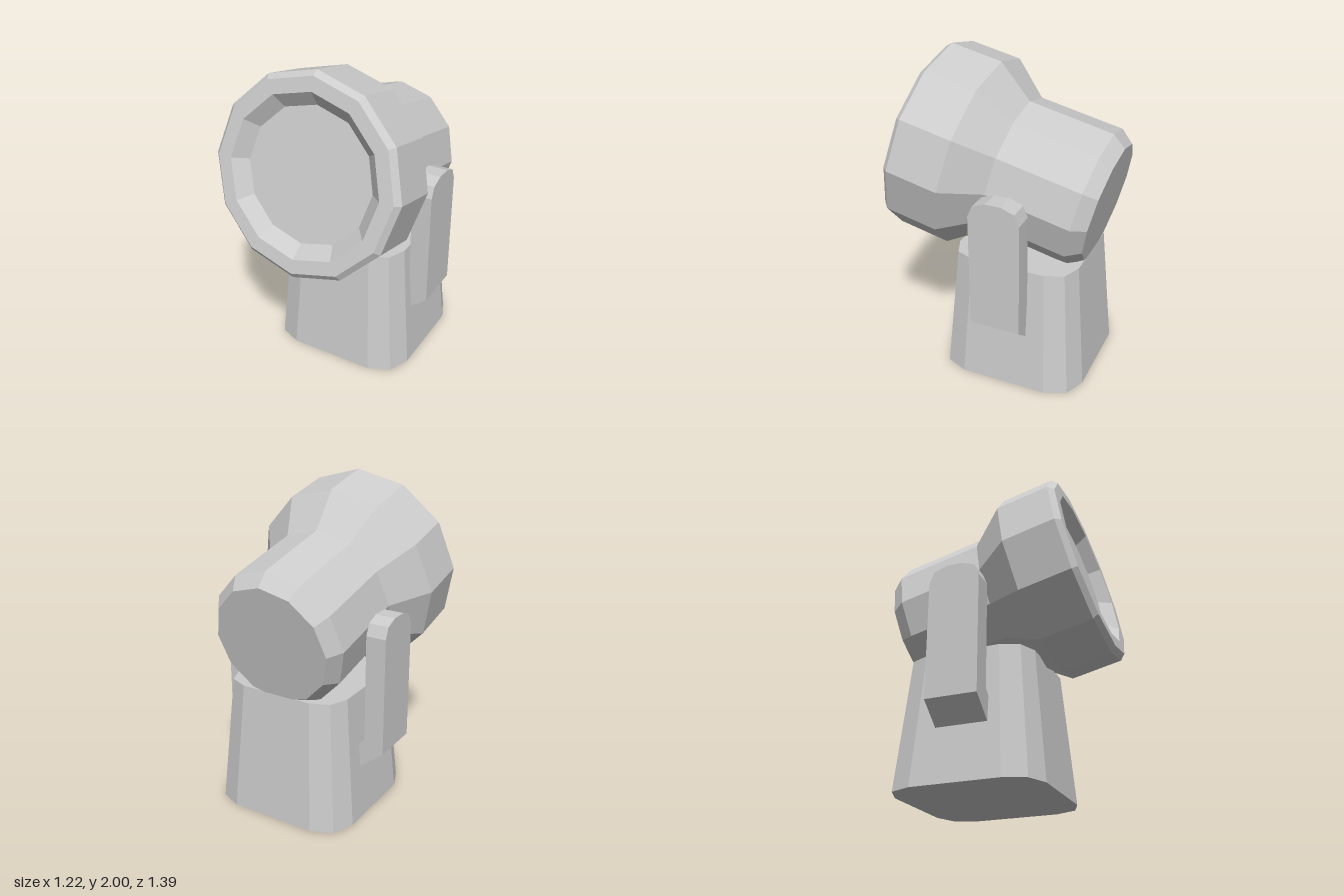
import * as THREE from 'three';

const material = new THREE.MeshStandardMaterial({ color: 0xcccccc, flatShading: true });

function part(name, geometry) {
  const mesh = new THREE.Mesh(geometry, material);
  mesh.name = name;
  return mesh;
}

const extrude = (points, depth) => new THREE.ExtrudeGeometry(
  new THREE.Shape(points.map(([x, y]) => new THREE.Vector2(x, y))),
  { depth, bevelEnabled: false });

// Square pedestal with two-facet rounded corners, tapering upward
function createBase() {
  const height = 0.81, half = 0.465, radius = 0.19, points = [];
  for (let corner = 0; corner < 4; corner++) {
    const mid = (corner + 0.5) * Math.PI / 2;
    const cx = Math.sign(Math.cos(mid)) * (half - radius);
    const cy = Math.sign(Math.sin(mid)) * (half - radius);
    for (let i = 0; i < 3; i++) {
      const a = corner * Math.PI / 2 + i * Math.PI / 4;
      points.push([cx + radius * Math.cos(a), cy + radius * Math.sin(a)]);
    }
  }
  const geometry = extrude(points, height);
  geometry.rotateX(-Math.PI / 2);
  const pos = geometry.attributes.position;
  for (let i = 0; i < pos.count; i++) {
    const taper = 1 - 0.15 * pos.getY(i) / height;
    pos.setX(i, pos.getX(i) * taper);
    pos.setZ(i, pos.getZ(i) * taper);
  }
  geometry.computeVertexNormals();
  geometry.translate(0.025, 0, -0.135);
  return part('base', geometry);
}

// Twelve-sided lamp housing with a recessed lens, tilted slightly upward
function createHead() {
  const profile = [
    [0, -0.338], [0.374, -0.338], [0.437, -0.252], [0.437, 0.282],
    [0.61, 0.506], [0.61, 0.834], [0.577, 0.868],
    [0.49, 0.868], [0.41, 0.79], [0, 0.79],
  ].map(([r, y]) => new THREE.Vector2(r, y));
  const geometry = new THREE.LatheGeometry(profile, 12);
  geometry.rotateY(-0.018);
  const head = part('lampHead', geometry);
  head.rotation.x = Math.PI / 2 - 0.224;
  head.position.set(0, 1.22, -0.278);
  return head;
}

// Bracket arm: upright with an inward foot, topped by a faceted cap
function createArm(side) {
  const inner = 0.435, outer = 0.56, half = 0.16, zMid = -0.113, shoulder = 1.185;
  const arm = new THREE.Group();
  arm.name = side > 0 ? 'leftArm' : 'rightArm';

  const upright = extrude([
    [inner, shoulder], [inner, 0.52], [0.3, 0.4], [0.35, 0.285],
    [outer, 0.455], [outer, shoulder],
  ].map(([x, y]) => [side * x, y]), half * 2);
  upright.translate(0, 0, zMid - half);

  const cap = extrude([
    [-half, shoulder], [half, shoulder], [0.13, 1.255],
    [0.05, 1.285], [-0.05, 1.285], [-0.13, 1.255],
  ], outer - inner);
  cap.rotateY(Math.PI / 2);
  cap.translate(side > 0 ? inner : -outer, 0, zMid);

  arm.add(part('upright', upright), part('cap', cap));
  return arm;
}

export function createModel() {
  const model = new THREE.Group();
  model.name = 'spotlight';
  model.add(createBase(), createHead(), createArm(1), createArm(-1));
  return model;
}
